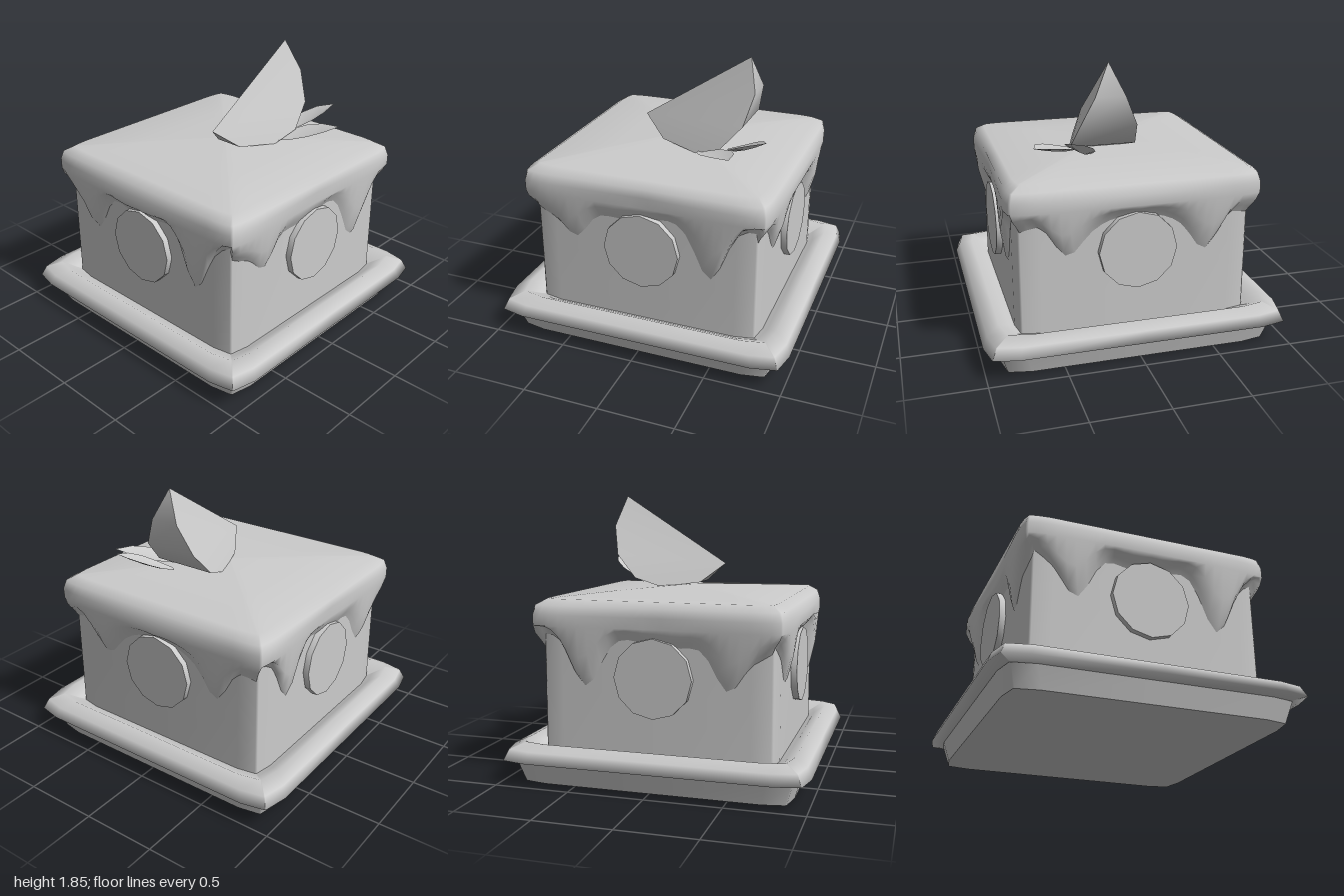
import * as THREE from 'three';
import { toCreasedNormals } from 'three/addons/utils/BufferGeometryUtils.js';

const grey = new THREE.MeshStandardMaterial({ color: 0xcccccc });
const greyDouble = new THREE.MeshStandardMaterial({ color: 0xcccccc, side: THREE.DoubleSide });

function add(parent, name, geometry, material = grey) {
  const mesh = new THREE.Mesh(geometry, material);
  mesh.name = name;
  parent.add(mesh);
  return mesh;
}

function indexed(pos, idx) {
  const g = new THREE.BufferGeometry();
  g.setAttribute('position', new THREE.Float32BufferAttribute(pos, 3));
  g.setIndex(idx);
  g.computeVertexNormals();
  return g;
}

// Lofts square rings with softened corners, from the bottom row up.
// rowAt(row, s, side) gives [distance from the axis, height], s runs -1..1 along a side.
function squareLoft(rows, stops, soft, rowAt) {
  const pos = [], idx = [], n = stops.length * 4;
  for (let r = 0; r < rows; r++) {
    for (let side = 0; side < 4; side++) {
      for (const s of stops) {
        const [h, y] = rowAt(r, s, side);
        const u = s * h;
        const w = h * (1 - soft * Math.max(0, (Math.abs(s) - 0.8) / 0.16) ** 2);
        const [x, z] = [[u, w], [w, -u], [-u, -w], [-w, u]][side];
        pos.push(x, y, z);
      }
    }
  }
  for (let r = 0; r < rows - 1; r++) {
    for (let j = 0; j < n; j++) {
      const a = r * n + j, b = r * n + (j + 1) % n;
      idx.push(a, b, b + n, a, b + n, a + n);
    }
  }
  return indexed(pos, idx);
}

const loftProfile = (profile, stops, soft) =>
  squareLoft(profile.length, stops, soft, r => profile[r]);

// How far down the icing runs at each place along a side
function hemHeight(s, side) {
  const drip = Math.exp(-(((Math.abs(s) - 0.6) / 0.16) ** 2));
  const ripple = 0.05 * Math.sin(s * 9 + side * 1.7);
  return 0.93 - (s > 0 ? 0.3 : 0.24) * drip + ripple * Math.min(1, Math.abs(s) * 2);
}

// Icing rows: hem tucked into the cake, bulging side, rounded shoulder, domed top
function icingRow(r, s, side) {
  const hem = hemHeight(s, side);
  const onX = side % 2 === 1;
  const bulge = onX ? 0.846 - 0.02 * s * s : 0.812 + 0.02 * Math.min(1, Math.abs(s) * 1.4);
  return [
    [0.755, hem - 0.04],
    [0.79, hem + 0.03],
    [THREE.MathUtils.lerp(0.79, bulge, 0.75), THREE.MathUtils.lerp(hem, 1.09, 0.4)],
    [bulge, 1.02],
    [bulge, 1.09],
    [0.815, 1.15],
    [0.755, 1.187],
    [0.4, 1.215],
    [0, 1.237],
  ][r];
}

// Fruit wedge: two flat cut faces meeting along a straight ridge, with peel between them
function wedgeGeometry() {
  const arc = [[-0.24, 1.38, 0], [-0.08, 1.25, 0.1], [0.18, 1.22, 0.19], [0.36, 1.28, 0.22],
    [0.5, 1.44, 0.19], [0.55, 1.64, 0.1], [0.49, 1.85, 0]];
  const pos = [], idx = [];
  for (const [x, y, w] of arc) pos.push(x, y, 0.11 + w, x, y, 0.11 - w);
  for (let i = 0; i < arc.length - 1; i++) {
    const a = i * 2;
    idx.push(a, a + 1, a + 3, a, a + 3, a + 2);
    if (i > 0) idx.push(0, a, a + 2, 1, a + 3, a + 1);
  }
  return toCreasedNormals(indexed(pos, idx), 0.8);
}

// Leaf folded along its midrib, lofted from base to tip
function leafGeometry(base, tip, halfWidth) {
  const a = new THREE.Vector3(...base), b = new THREE.Vector3(...tip);
  const across = new THREE.Vector3(b.z - a.z, 0, a.x - b.x).normalize();
  const pos = [], idx = [];
  const widths = [0.25, 0.8, 1, 0.75, 0];
  widths.forEach((w, i) => {
    const t = i / (widths.length - 1);
    const p = a.clone().lerp(b, t);
    p.y = a.y + (b.y - a.y) * t ** 1.3;
    for (const k of [-1, 0, 1]) {
      const q = p.clone().addScaledVector(across, k * w * halfWidth);
      pos.push(q.x, q.y + (k ? 0.03 * w : -0.005 * w), q.z);
    }
  });
  for (let i = 0; i < widths.length - 1; i++) {
    for (let k = 0; k < 2; k++) {
      const c = i * 3 + k;
      idx.push(c, c + 1, c + 4, c, c + 4, c + 3);
    }
  }
  return indexed(pos, idx);
}

export function createModel() {
  const group = new THREE.Group();
  group.name = 'cakeOnPlate';
  const coarse = [-0.96, -0.8, 0, 0.8, 0.96];
  const fine = [-0.965, ...Array.from({ length: 25 }, (_, i) => -0.9 + i * 0.075), 0.965];

  // Square plate with a rolled rim
  const plate = new THREE.Group();
  plate.name = 'plate';
  group.add(plate);
  add(plate, 'plateBase', toCreasedNormals(
    loftProfile([[0, 0], [0.885, 0], [0.925, 0.135]], coarse, 0.03), 1.0));
  add(plate, 'plateRim', loftProfile(
    [[0.91, 0.135], [1, 0.155], [0.97, 0.225], [0.885, 0.26], [0.81, 0.215], [0.74, 0.18]],
    coarse, 0.035));

  // Cake block and the icing flowing over it
  add(group, 'cakeBody', loftProfile([[0.772, 0.17], [0.772, 0.6], [0.772, 1.08]], coarse, 0.025));
  add(group, 'icing', squareLoft(9, fine, 0.02, icingRow), greyDouble);

  // Twelve-sided round slice on every side
  for (let i = 0; i < 4; i++) {
    const holder = new THREE.Group();
    holder.name = 'sideSlice';
    holder.rotation.y = i * Math.PI / 2;
    group.add(holder);
    const slice = add(holder, 'sliceDisc',
      toCreasedNormals(new THREE.CylinderGeometry(0.255, 0.255, 0.06, 12), 0.6));
    slice.rotation.x = Math.PI / 2;
    slice.position.set(0, 0.71, 0.783);
  }

  // Garnish on top
  add(group, 'fruitWedge', wedgeGeometry(), greyDouble);
  add(group, 'frontLeaf', leafGeometry([0.22, 1.22, 0.25], [0.505, 1.33, 0.595], 0.11), greyDouble);
  add(group, 'sideLeaf', leafGeometry([0.36, 1.225, 0.2], [0.69, 1.4, 0.41], 0.09), greyDouble);

  return group;
}
